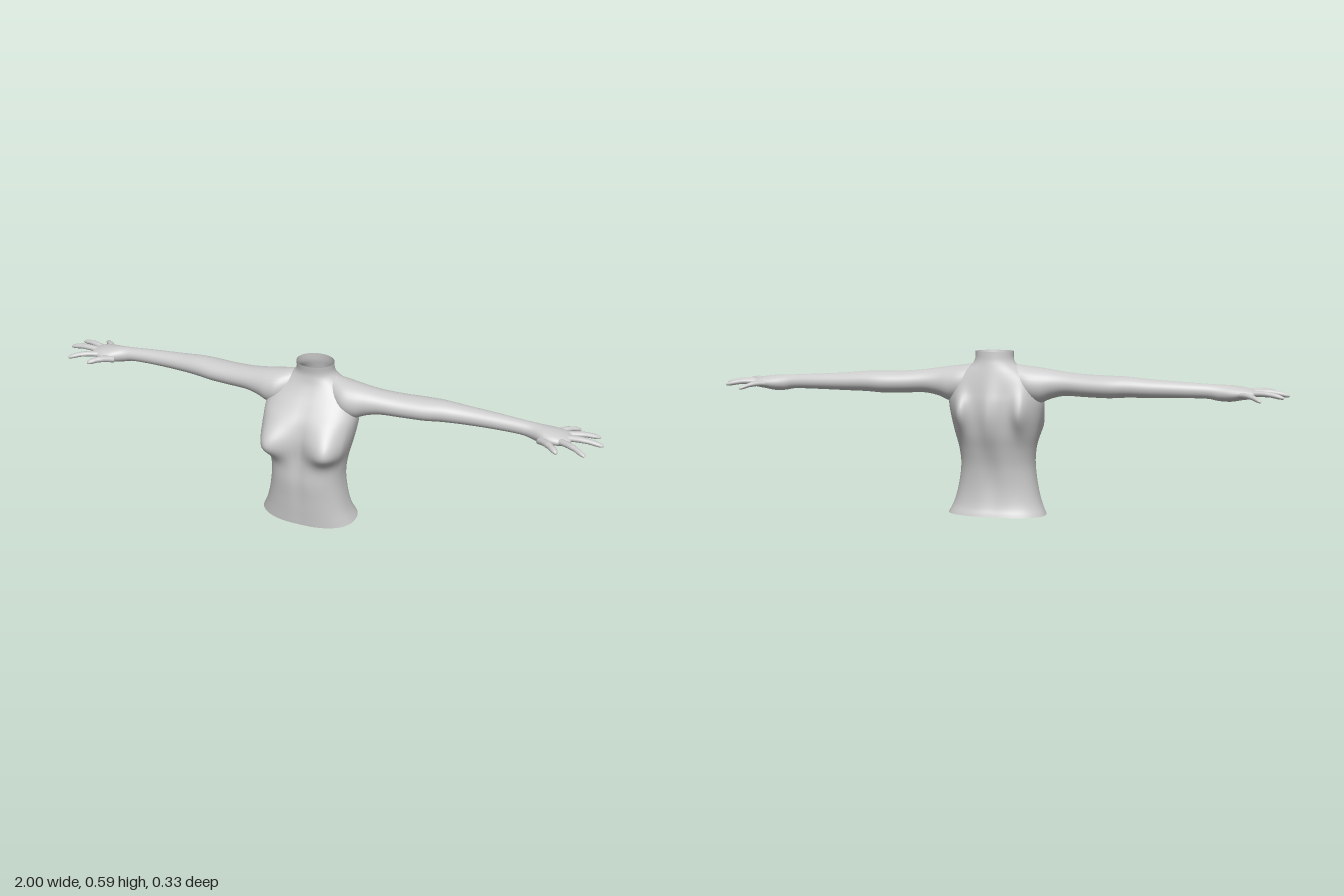
import * as THREE from 'three';

const skin = new THREE.MeshStandardMaterial({ color: 0xcccccc, side: THREE.DoubleSide });

// Catmull-Rom interpolation of table rows, n steps per span
function smoothRows(rows, n) {
  const out = [], last = rows.length - 1;
  for (let k = 0; k <= last * n; k++) {
    const i = Math.min(Math.floor(k / n), last - 1), t = k / n - i;
    const [a, b, c, d] = [-1, 0, 1, 2].map(o => rows[THREE.MathUtils.clamp(i + o, 0, last)]);
    out.push(b.map((v, j) => v + 0.5 * t * (c[j] - a[j]
      + t * (2 * a[j] - 5 * v + 4 * c[j] - d[j] + t * (3 * (v - c[j]) + d[j] - a[j])))));
  }
  return out;
}

// Smooth skin over closed rings of [x, y, z]; side -1 mirrors it in x
function loft(name, rings, side = 1) {
  const m = rings[0].length, pos = [], index = [];
  rings.forEach(r => r.forEach(([x, y, z]) => pos.push(x * side, y, z)));
  for (let i = 0; i < rings.length - 1; i++) {
    for (let j = 0; j < m; j++) {
      const a = i * m + j, b = i * m + (j + 1) % m, c = a + m, d = b + m;
      if (side > 0) index.push(a, c, b, b, c, d);
      else index.push(a, b, c, b, d, c);
    }
  }
  const g = new THREE.BufferGeometry();
  g.setAttribute('position', new THREE.Float32BufferAttribute(pos, 3));
  g.setIndex(index);
  g.computeVertexNormals();
  const mesh = new THREE.Mesh(g, skin);
  mesh.name = name;
  return mesh;
}

const ring = (m, f) => Array.from({ length: m }, (_, j) => f(j / m * Math.PI * 2));
const power = (v, p) => Math.sign(v) * Math.abs(v) ** p;
const bump = (dx, sx, dy, sy) => Math.exp(-((dx / sx) ** 2) - (dy / sy) ** 2);

// Torso stations: height, half width, back z, front z
const torsoRows = [
  [0.005, 0.176, -0.102, 0.112], [0.05, 0.156, -0.088, 0.116], [0.11, 0.141, -0.083, 0.121],
  [0.18, 0.132, -0.088, 0.127], [0.24, 0.136, -0.1, 0.124], [0.3, 0.149, -0.115, 0.117],
  [0.36, 0.162, -0.123, 0.114], [0.41, 0.168, -0.123, 0.1], [0.45, 0.162, -0.118, 0.07],
  [0.485, 0.147, -0.113, 0.042], [0.515, 0.115, -0.108, 0.024], [0.54, 0.08, -0.103, 0.016],
  [0.56, 0.068, -0.099, 0.014], [0.586, 0.067, -0.097, 0.018],
];

function torso() {
  const rings = smoothRows(torsoRows, 5).map(([y, w, back, front]) => ring(80, t => {
    const c = Math.cos(t), s = Math.sin(t), mid = (back + front) / 2, half = (front - back) / 2;
    const p = THREE.MathUtils.lerp(0.84, 1, THREE.MathUtils.smoothstep(y, 0.45, 0.56));
    let x = w * power(c, p), z = mid + half * power(s, p);
    const ax = Math.abs(x);
    if (s > 0) {
      // bust, fuller below than above, with a shallow centre line
      const f = Math.min(1, s * 2.2);
      const b = bump(ax - 0.092, 0.062, y - 0.322, y < 0.322 ? 0.052 : 0.075) * f;
      z += 0.062 * b - 0.006 * bump(x, 0.02, y - 0.25, 0.18) * f;
      x += Math.sign(x) * 0.02 * b;
    } else {
      // shoulder blades and spine ridge
      const f = Math.min(1, -s * 2);
      z -= f * (0.036 * bump(ax - 0.106, 0.026, y - 0.375, 0.065)
        + 0.02 * bump(x, 0.028, y - 0.36, 0.1) - 0.008 * bump(x, 0.03, y - 0.14, 0.09));
    }
    return [x, y + (y < 0.02 ? -0.004 * s : 0), z];
  }));
  return loft('torso', rings);
}

// Arm and palm stations: x, bottom y, top y, back z, front z
const armRows = [
  [0.078, 0.43, 0.542, -0.09, 0.012], [0.12, 0.412, 0.536, -0.098, 0.036],
  [0.16, 0.408, 0.531, -0.094, 0.036], [0.2, 0.424, 0.525, -0.086, 0.026],
  [0.25, 0.435, 0.518, -0.085, 0.016], [0.32, 0.434, 0.512, -0.094, 0.006],
  [0.4, 0.433, 0.51, -0.104, -0.004], [0.46, 0.437, 0.509, -0.103, -0.015],
  [0.54, 0.439, 0.502, -0.1, -0.028], [0.64, 0.441, 0.496, -0.095, -0.035],
  [0.73, 0.441, 0.491, -0.088, -0.036], [0.77, 0.434, 0.489, -0.09, -0.029],
  [0.81, 0.432, 0.487, -0.097, -0.007], [0.845, 0.438, 0.483, -0.1, -0.003],
  [0.875, 0.443, 0.476, -0.096, -0.011], [0.893, 0.45, 0.468, -0.085, -0.022],
  [0.897, 0.458, 0.46, -0.06, -0.05],
];

function arm(side) {
  const rings = smoothRows(armRows, 4).map(([x, y0, y1, z0, z1]) => ring(32, t => [
    x, (y0 + y1) / 2 + (y1 - y0) / 2 * Math.sin(t), (z0 + z1) / 2 + (z1 - z0) / 2 * Math.cos(t)]));
  return loft('arm', rings, side);
}

// Fingers: name, root, tip, radius
const fingers = [
  ['thumb', [0.8, 0.453, -0.018], [0.868, 0.458, 0.054], 0.0135],
  ['indexFinger', [0.86, 0.461, -0.022], [0.957, 0.458, 0.041], 0.0115],
  ['middleFinger', [0.868, 0.462, -0.049], [1, 0.455, -0.054], 0.012],
  ['ringFinger', [0.862, 0.46, -0.073], [0.981, 0.453, -0.112], 0.0115],
  ['littleFinger', [0.835, 0.457, -0.086], [0.908, 0.444, -0.16], 0.0105],
];

// Finger thickness along its length: position, scale
const fingerRows = [[0, 1.15], [0.25, 1], [0.5, 0.98], [0.62, 0.86], [0.78, 0.86], [0.9, 0.7], [0.97, 0.45], [1, 0.03]];

function finger([name, root, tip, radius], side) {
  const dx = tip[0] - root[0], dy = tip[1] - root[1], dz = tip[2] - root[2], len = Math.hypot(dx, dz);
  const rings = smoothRows(fingerRows, 2).map(([t, k]) => ring(12, a => {
    const u = radius * k * Math.cos(a), v = radius * k * 0.85 * Math.sin(a);
    return [root[0] + dx * t - dz / len * u,
      root[1] + dy * t + 0.007 * Math.sin(Math.PI * t) + v,
      root[2] + dz * t + dx / len * u];
  }));
  return loft(name, rings, side);
}

export function createModel() {
  const model = new THREE.Group();
  model.name = 'upperBody';
  model.add(torso());
  for (const side of [1, -1]) {
    const limb = new THREE.Group();
    limb.name = side > 0 ? 'leftArm' : 'rightArm';
    limb.add(arm(side), ...fingers.map(f => finger(f, side)));
    model.add(limb);
  }
  return model;
}
